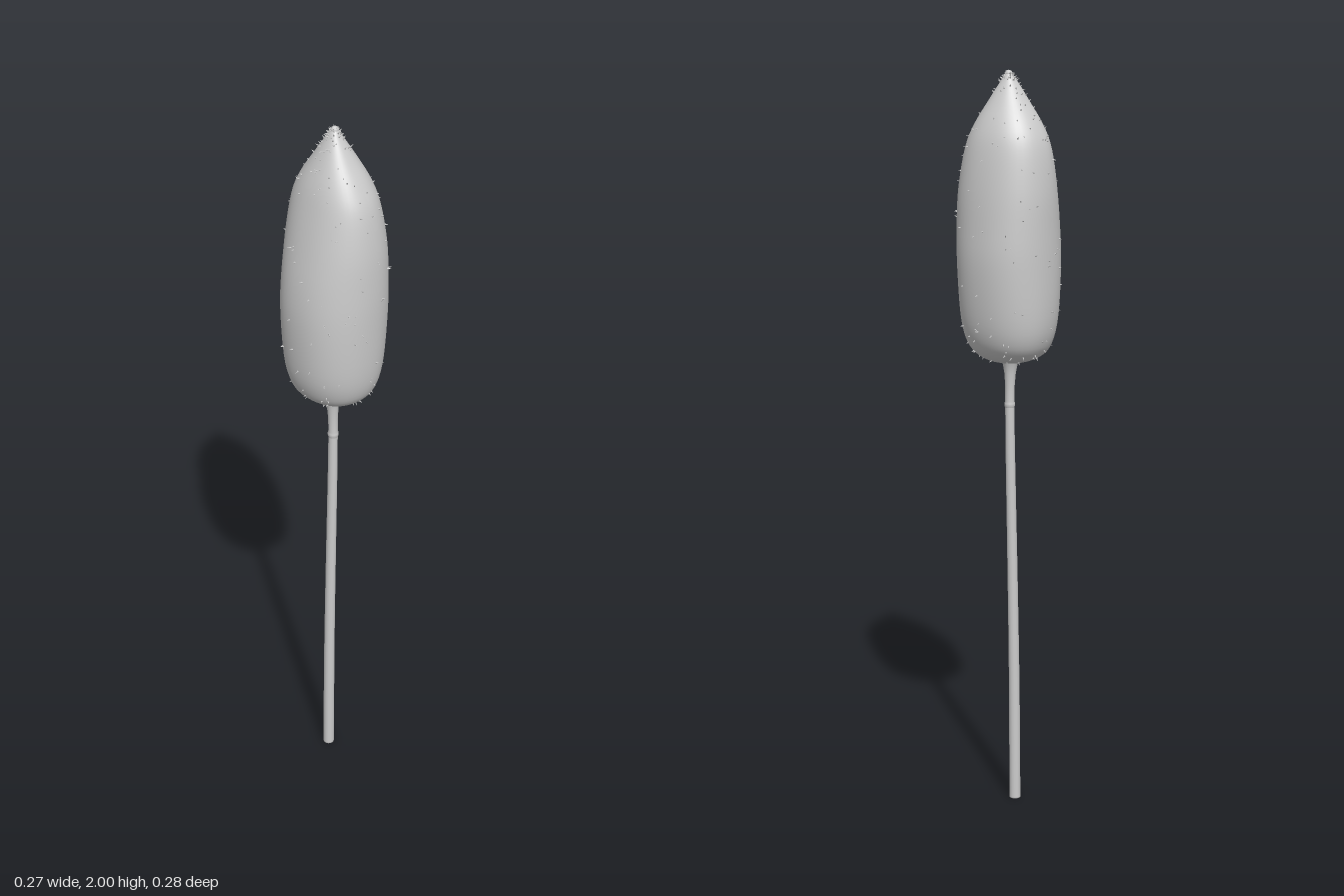
import * as THREE from 'three';
import { mergeVertices, mergeGeometries } from 'three/addons/utils/BufferGeometryUtils.js';

// Seed head cross-sections: height, extent to -x, +x, +z, -z
const SECTIONS = [
  [1.243, 0, 0, 0, 0],
  [1.241, 0.045, 0.04, 0.05, 0.045],
  [1.262, 0.088, 0.075, 0.094, 0.092],
  [1.30, 0.111, 0.099, 0.118, 0.116],
  [1.37, 0.126, 0.115, 0.131, 0.128],
  [1.50, 0.133, 0.126, 0.137, 0.132],
  [1.60, 0.126, 0.124, 0.138, 0.132],
  [1.70, 0.108, 0.117, 0.134, 0.130],
  [1.80, 0.085, 0.102, 0.117, 0.119],
  [1.86, 0.068, 0.083, 0.091, 0.096],
  [1.92, 0.043, 0.051, 0.053, 0.056],
  [1.97, 0.019, 0.021, 0.021, 0.022],
  [1.988, 0.008, 0.01, 0.009, 0.009],
  [1.992, 0, 0, 0, 0],
];
const spline = (i, j) => new THREE.CatmullRomCurve3(
  SECTIONS.map((s) => new THREE.Vector3(s[0], s[i], s[j])), false, 'catmullrom', 0.5);
const sideX = spline(1, 2);
const sideZ = spline(3, 4);

// Point on the head: t runs bottom to tip, a runs round the axis
function headPoint(t, a) {
  const ex = sideX.getPoint(t);
  const ez = sideZ.getPoint(t);
  const c = Math.cos(a);
  const s = Math.sin(a);
  const square = Math.pow(Math.abs(c) ** 2.2 + Math.abs(s) ** 2.2, -1 / 2.2);
  const dent = 1 + 0.006 * Math.sin(3 * a + 17 * t) * Math.sin(9 * t);
  const k = square * dent;
  return new THREE.Vector3(
    c * k * Math.max(0, c < 0 ? ex.y : ex.z), ex.x, s * k * Math.max(0, s > 0 ? ez.y : ez.z));
}

function headGeometry() {
  const geo = new THREE.SphereGeometry(1, 48, 52);
  const { position, uv } = geo.attributes;
  for (let i = 0; i < position.count; i++) {
    const p = headPoint(uv.getY(i), Math.PI - uv.getX(i) * Math.PI * 2);
    position.setXYZ(i, p.x, p.y, p.z);
  }
  geo.deleteAttribute('uv');
  geo.deleteAttribute('normal');
  const welded = mergeVertices(geo, 1e-5);
  welded.computeVertexNormals();
  return welded;
}

// Tiny bristles scattered over the head, pointing outward
function bristleGeometry(count) {
  let seed = 7;
  const rand = () => (seed = (seed * 16807) % 2147483647) / 2147483647;
  const up = new THREE.Vector3(0, 1, 0);
  const turn = new THREE.Quaternion();
  const parts = [];
  for (let i = 0; i < count; i++) {
    const t = 0.1 + 0.87 * rand();
    const a = rand() * Math.PI * 2;
    const p = headPoint(t, a);
    const du = headPoint(t + 0.01, a).sub(p);
    const dv = headPoint(t, a + 0.02).sub(p);
    const out = du.cross(dv).normalize();
    const length = 0.006 + 0.005 * rand();
    const tilt = new THREE.Vector3(rand() - 0.5, rand() - 0.5, rand() - 0.5);
    const cone = new THREE.ConeGeometry(0.0025, length, 4);
    cone.translate(0, length * 0.4, 0);
    cone.applyQuaternion(turn.setFromUnitVectors(up, out.add(tilt.multiplyScalar(0.7)).normalize()));
    cone.translate(p.x, p.y, p.z);
    parts.push(cone);
  }
  return mergeGeometries(parts);
}

// Stem centre line, slightly bent
const stemPath = new THREE.CatmullRomCurve3([
  [-0.010, 0, -0.013], [-0.010, 0.35, -0.010], [-0.010, 0.7, -0.003],
  [-0.010, 1.0, 0.004], [-0.009, 1.12, 0.005], [-0.008, 1.25, 0.002],
].map((p) => new THREE.Vector3(...p)));

function centreAt(y) {
  let lo = 0;
  let hi = 1;
  for (let i = 0; i < 20; i++) {
    const mid = (lo + hi) / 2;
    if (stemPath.getPoint(mid).y < y) lo = mid; else hi = mid;
  }
  return stemPath.getPoint(lo);
}

// Lathe a radius profile, then shift each ring onto the centre line
function stemGeometry(profile) {
  const geo = new THREE.LatheGeometry(profile.map(([r, y]) => new THREE.Vector2(r, y)), 14);
  const pos = geo.attributes.position;
  for (let i = 0; i < pos.count; i++) {
    const c = centreAt(pos.getY(i));
    pos.setX(i, pos.getX(i) + c.x);
    pos.setZ(i, pos.getZ(i) + c.z);
  }
  return geo;
}

export function createModel() {
  const group = new THREE.Group();
  const material = new THREE.MeshStandardMaterial({ color: 0xcccccc });
  const add = (name, geometry) => {
    const mesh = new THREE.Mesh(geometry, material);
    mesh.name = name;
    group.add(mesh);
  };

  add('seedHead', headGeometry());
  add('bristles', bristleGeometry(260));

  // Long stalk with a closed foot
  add('stem', stemGeometry([
    [0, 0], [0.0155, 0], [0.0155, 0.003], [0.0155, 0.18], [0.015, 0.35], [0.0145, 0.52],
    [0.014, 0.7], [0.0135, 0.85], [0.013, 1.0], [0.0125, 1.125],
  ]));

  // Neck: small node, then a flare into the head
  add('neck', stemGeometry([
    [0.0125, 1.112], [0.0145, 1.118], [0.0145, 1.124], [0.0125, 1.13],
    [0.013, 1.17], [0.0155, 1.205], [0.02, 1.23], [0.028, 1.25],
  ]));

  // Blunt nub at the tip
  const tip = new THREE.SphereGeometry(0.01, 12, 8);
  tip.translate(0.001, 1.988, 0);
  add('tip', tip);
  return group;
}
